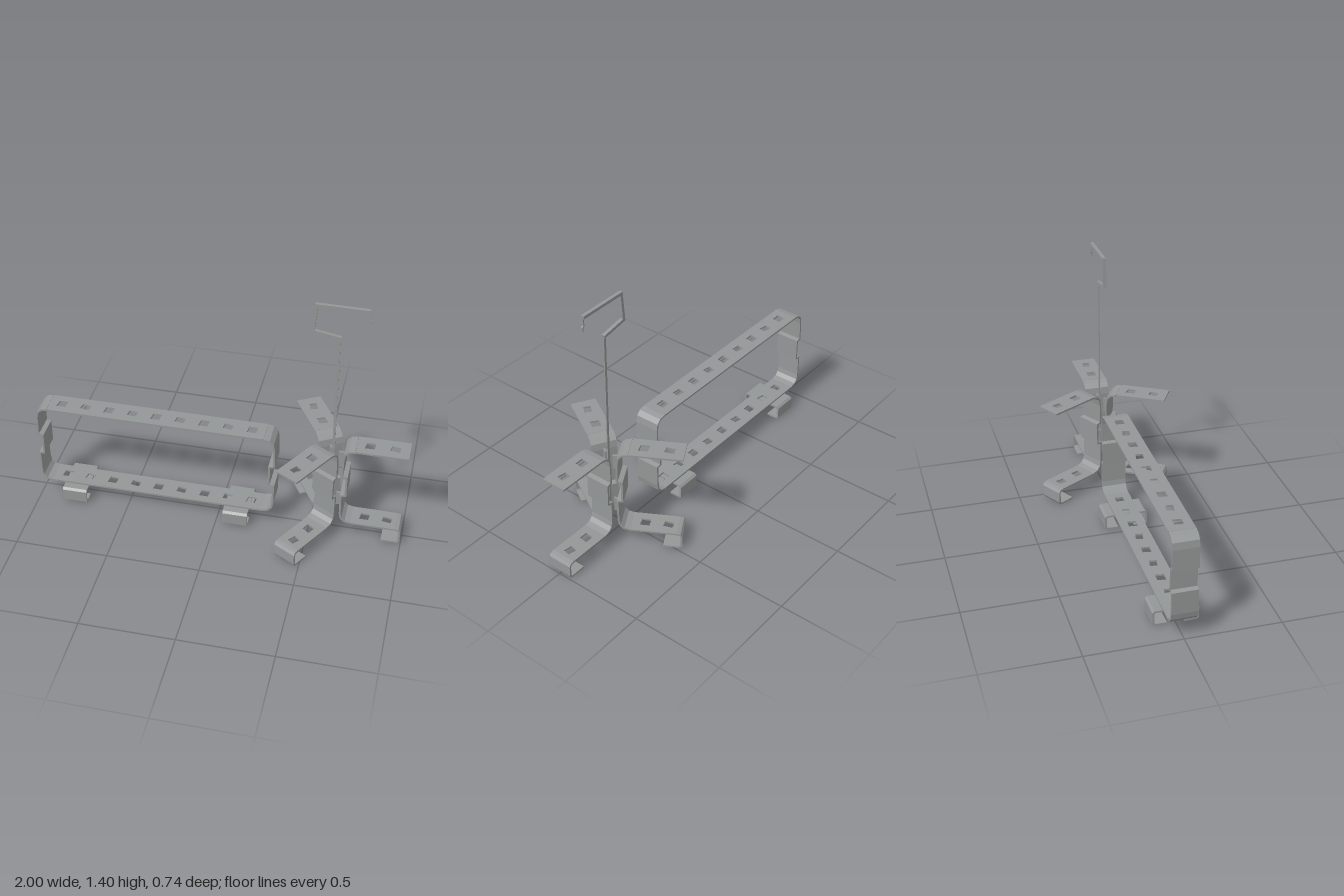
import * as THREE from 'three';

const metal = new THREE.MeshStandardMaterial({ color: 0x949797 });
metal.name = 'grey metal';
const T = 0.01; // sheet thickness
const W = 0.135; // strip width

function add(parent, geometry, name) {
  const mesh = new THREE.Mesh(geometry, metal);
  mesh.name = name;
  parent.add(mesh);
  return mesh;
}

// Bent sheet: a centre line in xy, given thickness and extruded along z
function ribbon(points, width = W, thickness = T) {
  const p = points.map(([x, y]) => new THREE.Vector2(x, y));
  const a = [], b = [];
  p.forEach((q, i) => {
    const d0 = (i ? q.clone().sub(p[i - 1]) : p[1].clone().sub(q)).normalize();
    const d1 = (i < p.length - 1 ? p[i + 1].clone().sub(q) : d0.clone()).normalize();
    const n = new THREE.Vector2(-d0.y - d1.y, d0.x + d1.x).normalize();
    const s = thickness / 2 / Math.max(0.5, -n.x * d0.y + n.y * d0.x);
    a.push(q.clone().addScaledVector(n, s));
    b.unshift(q.clone().addScaledVector(n, -s));
  });
  return new THREE.ExtrudeGeometry(new THREE.Shape([...a, ...b]), { depth: width, bevelEnabled: false })
    .translate(0, 0, -width / 2);
}

// Flat strip along x, pierced by slightly skewed holes
function piercedPlate(x0, x1, y, holes) {
  const h = W / 2;
  const shape = new THREE.Shape([[x0, -h], [x1, -h], [x1, h], [x0, h]].map((c) => new THREE.Vector2(...c)));
  holes.forEach((x, i) => {
    const k = i % 2 ? 1 : -1;
    const corners = [[-0.027, -0.02 + k * 0.004], [0.022, -0.024], [0.027, 0.018 - k * 0.004], [-0.02, 0.024]];
    shape.holes.push(new THREE.Path(corners.map(([u, v]) => new THREE.Vector2(x + u, v))));
  });
  return new THREE.ExtrudeGeometry(shape, { depth: T, bevelEnabled: false })
    .rotateX(-Math.PI / 2).translate(0, y - T / 2, 0);
}

// Upright with rounded ends and a recessed middle; dir points into the frame
function upright(x, dir) {
  const profile = [[0.06, 0.572], [0.028, 0.565], [0.008, 0.545], [0.002, 0.51], [0, 0.4], [0.025, 0.395],
    [0.025, 0.275], [0, 0.27], [0.002, 0.15], [0.008, 0.12], [0.028, 0.098], [0.06, 0.09]];
  return ribbon(profile.map(([u, y]) => [x + dir * u, y]));
}

function longFrame() {
  const g = new THREE.Group();
  g.name = 'longFrame';
  const x0 = -0.995, x1 = 0.305;
  const holes = Array.from({ length: 9 }, (_, i) => -0.865 + i * 0.13);
  add(g, piercedPlate(x0 + 0.06, x1 - 0.06, 0.572, holes), 'topRail');
  add(g, piercedPlate(x0 + 0.06, x1 - 0.06, 0.09, holes), 'bottomRail');
  add(g, upright(x0, 1), 'leftEndWall');
  add(g, upright(x1, -1), 'rightEndWall');
  // Bracket feet with lips turned inward
  const foot = [[-0.045, 0.005], [-0.105, 0.005], [-0.114, 0.012], [-0.114, 0.072], [-0.105, 0.08],
    [0.105, 0.08], [0.114, 0.072], [0.114, 0.012], [0.105, 0.005], [0.045, 0.005]];
  for (const x of [-0.795, 0.107]) {
    const m = add(g, ribbon(foot), 'bracketFoot');
    m.rotation.y = Math.PI / 2;
    m.position.x = x;
  }
  return g;
}

// One C-shaped arm of the stand, pointing along +x
function standArm() {
  const g = new THREE.Group();
  g.name = 'standArm';
  add(g, upright(0.055, 1), 'armUpright');
  add(g, piercedPlate(0.115, 0.39, 0.572, [0.185, 0.315]), 'upperArm');
  add(g, piercedPlate(0.115, 0.355, 0.09, [0.185, 0.305]), 'lowerArm');
  add(g, ribbon([[0.354, 0.09], [0.372, 0.086], [0.38, 0.074], [0.38, 0.017], [0.372, 0.005], [0.285, 0.005]]), 'armFoot');
  // Tabs joining the upright to the hub
  for (const y of [0.2, 0.475]) {
    add(g, new THREE.BoxGeometry(0.03, 0.08, 0.012).translate(0.04, y, 0), 'hubTab');
  }
  return g;
}

function hookPole() {
  const g = new THREE.Group();
  g.name = 'hookPole';
  add(g, ribbon([[0.606, 0.09], [0.604, 0.57], [0.598, 1.21]], 0.006, 0.014), 'pole');
  add(g, ribbon([[0.606, 1.214], [0.465, 1.24], [0.478, 1.39], [0.74, 1.387]], 0.018, 0.016), 'hookBend');
  add(g, ribbon([[0.74, 1.387], [0.737, 1.34], [0.745, 1.335], [0.744, 1.31]], 0.01, 0.006), 'hookTip');
  return g;
}

export function createModel() {
  const model = new THREE.Group();
  model.name = 'pierced strip frame and stand';
  model.add(longFrame());
  const stand = new THREE.Group();
  stand.name = 'stand';
  stand.position.x = 0.61;
  for (let i = 0; i < 3; i++) {
    const arm = standArm();
    arm.rotation.y = (i * Math.PI * 2) / 3;
    stand.add(arm);
  }
  model.add(stand, hookPole());
  return model;
}
